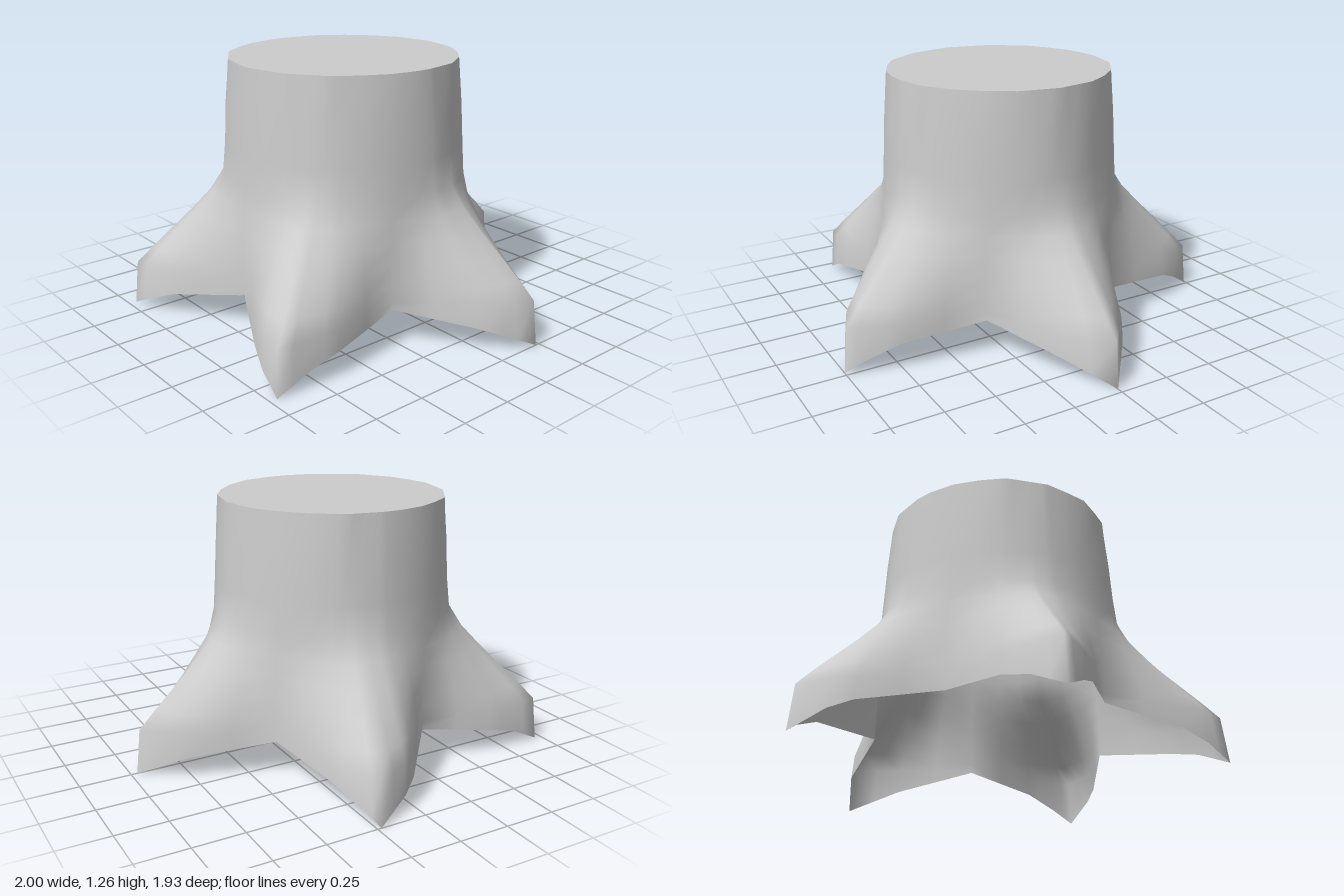
import * as THREE from 'three';

// Right half of the root outline at ground level, from back tip to front valley: x, y, z
const OUTLINE = [
  [0, 0, -0.97], [0.17, 0.105, -0.77], [0.35, 0.178, -0.4],
  [0.76, 0.135, -0.335], [0.91, 0.065, -0.28], [1, 0, -0.23],
  [0.93, 0.08, -0.06], [0.86, 0.115, 0.03], [0.57, 0.178, 0.28],
  [0.64, 0.12, 0.65], [0.635, 0.08, 0.8], [0.62, 0, 0.965],
  [0.48, 0.065, 0.94], [0.35, 0.115, 0.89], [0, 0.178, 0.71],
];
// Rings above the ground edge: height, trunk radius, root reach, root fullness
const RINGS = [
  [0.22, 0.605, 0.95, 1], [0.3, 0.602, 0.79, 0.92], [0.4, 0.6, 0.57, 0.85],
  [0.5, 0.597, 0.35, 0.85], [0.6, 0.594, 0.15, 0.95], [0.7, 0.588, 0.02, 1],
  [0.85, 0.581, 0, 1], [1.05, 0.57, 0, 1], [1.265, 0.56, 0, 1],
];
const CENTRE_Z = 0.095, VALLEY = 0.605, REACH = 0.455, SIDES = 16;

// Full closed outline: subdivide the half, then mirror it
function groundLoop() {
  const half = [];
  for (let i = 0; i < OUTLINE.length - 1; i++) {
    const a = new THREE.Vector3(...OUTLINE[i]);
    const b = new THREE.Vector3(...OUTLINE[i + 1]);
    for (const t of [0, 0.5]) half.push(a.clone().lerp(b, t));
  }
  half.push(new THREE.Vector3(...OUTLINE[OUTLINE.length - 1]));
  const mirrored = half.slice(1, -1).reverse().map(p => new THREE.Vector3(-p.x, p.y, p.z));
  return [...half, ...mirrored];
}

// Ring of points at one height, blending the star of roots into the round trunk
function ringAt(ground, [y, radius, reach, fullness], faceted) {
  return ground.map(p => {
    const angle = Math.atan2(p.x, CENTRE_Z - p.z);
    const r0 = Math.hypot(p.x, p.z - CENTRE_Z);
    const w = Math.max(0, (r0 - VALLEY) / REACH);
    let r = radius + REACH * reach * Math.pow(w, fullness);
    if (faceted) {
      const step = 2 * Math.PI / SIDES;
      const off = (angle + 4 * Math.PI) % step - step / 2;
      r *= Math.cos(step / 2) / Math.cos(off);
    }
    return new THREE.Vector3(r * Math.sin(angle), y, CENTRE_Z - r * Math.cos(angle));
  });
}

function geometryFrom(points, index) {
  const geometry = new THREE.BufferGeometry().setFromPoints(points);
  geometry.setIndex(index);
  geometry.computeVertexNormals();
  return geometry;
}

export function createModel() {
  const group = new THREE.Group();
  group.name = 'treeStump';
  const grey = new THREE.MeshStandardMaterial({ color: 0xcccccc, side: THREE.DoubleSide });
  grey.name = 'light grey';

  const ground = groundLoop();
  const loops = [ground, ...RINGS.map((ring, k) => ringAt(ground, ring, k === RINGS.length - 1))];
  const n = ground.length;

  // Trunk wall with five flaring roots, open underneath
  const wall = [];
  for (let j = 0; j < loops.length - 1; j++) {
    for (let i = 0; i < n; i++) {
      const a = j * n + i, b = j * n + (i + 1) % n;
      wall.push(a, a + n, b, b, a + n, b + n);
    }
  }
  const trunk = new THREE.Mesh(geometryFrom(loops.flat(), wall), grey);
  trunk.name = 'trunkWithRoots';
  group.add(trunk);

  // Flat cut top
  const fan = [];
  for (let i = 0; i < n; i++) fan.push(n, (i + 1) % n, i);
  const top = [...loops[loops.length - 1], new THREE.Vector3(0, 1.265, CENTRE_Z)];
  const cut = new THREE.Mesh(geometryFrom(top, fan), grey);
  cut.name = 'cutTop';
  group.add(cut);

  return group;
}
